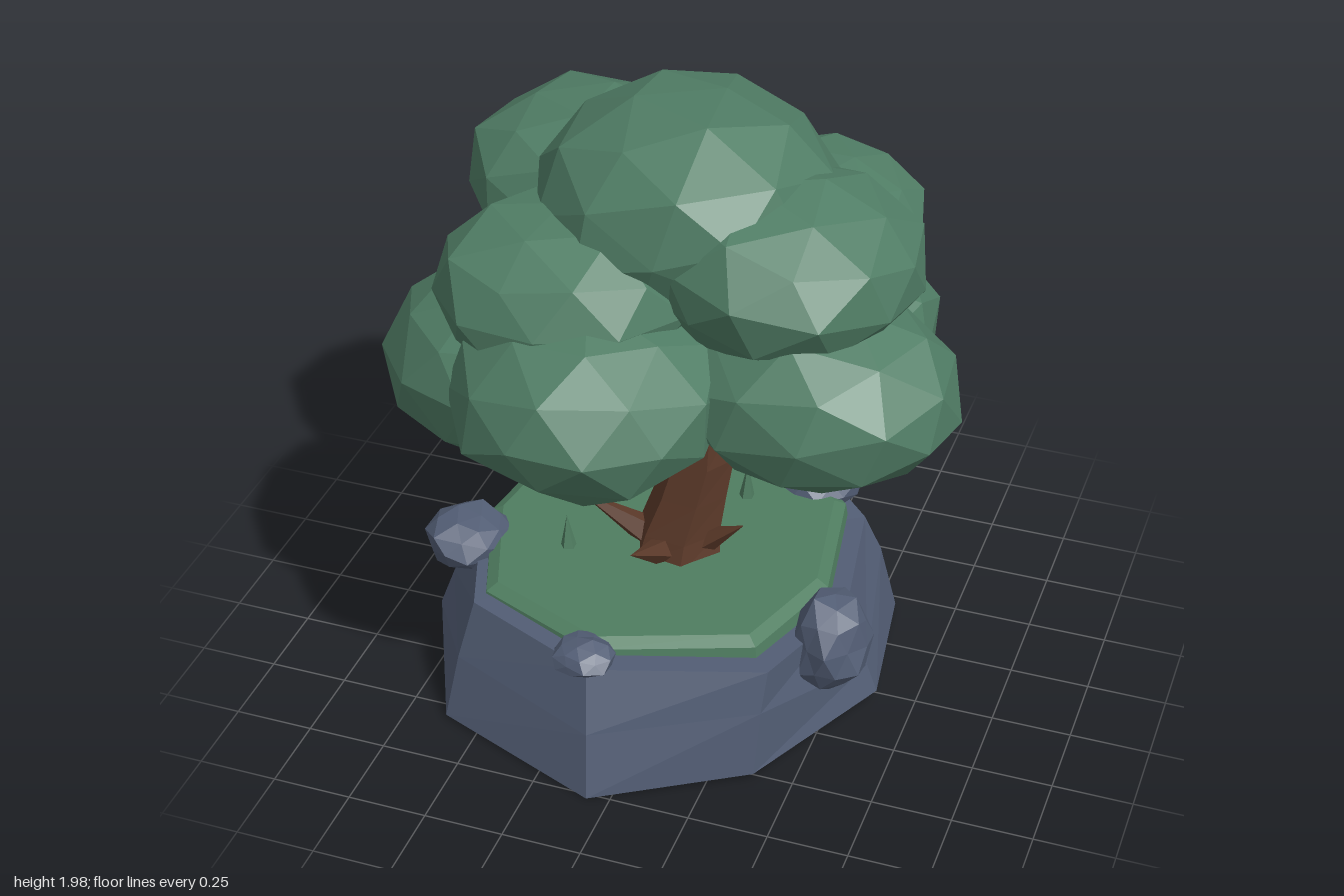
import * as THREE from 'three';

const mat = (name, color) => {
  const m = new THREE.MeshStandardMaterial({ color, flatShading: true });
  m.name = name;
  return m;
};

// Closed solid through a list of rings; each ring is a loop of [x, y, z]
function loft(rings) {
  const n = rings[0].length, pos = [], idx = [];
  rings.forEach(r => r.forEach(p => pos.push(...p)));
  for (let k = 0; k < rings.length - 1; k++) {
    for (let i = 0; i < n; i++) {
      const j = (i + 1) % n, a = k * n + i, b = k * n + j;
      idx.push(a, b, b + n, a, b + n, a + n);
    }
  }
  [rings[0], rings[rings.length - 1]].forEach((r, end) => {
    const c = pos.length / 3, o = end ? (rings.length - 1) * n : 0;
    pos.push(...[0, 1, 2].map(k => r.reduce((s, p) => s + p[k], 0) / n));
    for (let i = 0; i < n; i++) {
      const a = o + i, b = o + (i + 1) % n;
      idx.push(c, end ? a : b, end ? b : a);
    }
  });
  const g = new THREE.BufferGeometry();
  g.setAttribute('position', new THREE.Float32BufferAttribute(pos, 3));
  g.setIndex(idx);
  const flat = g.toNonIndexed();
  flat.computeVertexNormals();
  return flat;
}

// Regular ring running front, right, back, left
const ring = (x, y, z, r, n, turn = 0) => Array.from({ length: n }, (_, i) => {
  const a = turn + i / n * Math.PI * 2;
  return [x + Math.sin(a) * r, y, z + Math.cos(a) * r];
});

// Faceted lump: a turned, slightly uneven icosphere stretched to its radii
function lump(rx, ry, rz, seed, rough) {
  const g = new THREE.IcosahedronGeometry(1, 1);
  g.rotateX(seed * 1.3).rotateY(seed * 2.1);
  const p = g.attributes.position, v = new THREE.Vector3();
  for (let i = 0; i < p.count; i++) {
    v.fromBufferAttribute(p, i);
    const f = 1 + rough * Math.sin(v.x * 5.1 + seed * 3) * Math.cos(v.y * 4.3 + v.z * 3.7 + seed);
    p.setXYZ(i, v.x * rx * f, v.y * ry * f, v.z * rz * f);
  }
  g.computeVertexNormals();
  return g;
}

export function createModel() {
  const root = new THREE.Group();
  const leaf = mat('leaf green', 0x507d65);
  const grass = mat('grass green', 0x4f7d60);
  const stone = mat('slate grey', 0x525d74);
  const bark = mat('bark brown', 0x5b3929);

  const add = (name, geometry, material, x = 0, y = 0, z = 0) => {
    const m = new THREE.Mesh(geometry, material);
    m.name = name;
    m.position.set(x, y, z);
    root.add(m);
    return m;
  };

  // Rock base: outlines of foot and rim as [x, y, z], with an uneven ring between
  const foot = [[-0.07, 0.01, 0.77], [0.38, 0.03, 0.52], [0.635, 0.06, 0.05], [0.56, 0.03, -0.44],
    [0.17, 0.01, -0.84], [-0.38, 0.02, -0.79], [-0.8, 0.02, -0.38], [-0.86, 0.03, 0.04], [-0.62, 0.02, 0.56]];
  const rim = [[-0.11, 0.4, 0.64], [0.4, 0.38, 0.45], [0.53, 0.37, 0.06], [0.45, 0.37, -0.42],
    [0.13, 0.41, -0.71], [-0.35, 0.36, -0.66], [-0.66, 0.35, -0.34], [-0.71, 0.39, 0.02], [-0.55, 0.41, 0.46]];
  const middle = foot.map((p, i) => {
    const s = Math.sin(i * 2.4), t = 0.42 + 0.1 * s;
    return [p[0] + (rim[i][0] - p[0]) * t, 0.21 + 0.05 * s, p[2] + (rim[i][2] - p[2]) * t];
  });
  add('rockBase', loft([foot, middle, rim]), stone);

  // Grass cap
  const lawn = (y, s) => rim.map(([x, , z]) => [-0.11 + (x + 0.09) * s, y, -0.05 + (z + 0.03) * s]);
  add('grassCap', loft([lawn(0.34, 0.94), lawn(0.415, 0.92), lawn(0.437, 0.86)]), grass);

  // Boulders around the rim: x, y, z, radii, tilt
  [
    [0.525, 0.35, 0.19, 0.12, 0.16, 0.135, -0.5],
    [0.25, 0.425, -0.54, 0.16, 0.095, 0.18, 0],
    [-0.43, 0.42, -0.6, 0.17, 0.1, 0.16, 0.15],
    [-0.7, 0.4, 0.13, 0.14, 0.1, 0.15, -0.1],
    [-0.14, 0.41, 0.59, 0.1, 0.055, 0.09, 0],
  ].forEach(([x, y, z, rx, ry, rz, tilt], i) => {
    add('boulder' + (i + 1), lump(rx, ry, rz, i + 1.4, 0.12), stone, x, y, z).rotation.x = tilt;
  });

  // Trunk: hexagonal rings along a gentle bend
  add('trunk', loft([
    [-0.05, 0.41, -0.02, 0.15], [-0.045, 0.5, -0.03, 0.135], [-0.015, 0.63, -0.045, 0.118],
    [0.01, 0.76, -0.06, 0.11], [0.01, 0.9, -0.075, 0.104], [0.01, 1.05, -0.09, 0.098],
    [0.0, 1.3, -0.09, 0.08],
  ].map(([x, y, z, r], i) => ring(x, y, z, r, 6, 0.35 + i * 0.05))), bark);

  // Tapered limb between two points
  const up = new THREE.Vector3(0, 1, 0);
  const limb = (name, from, to, r0, r1) => {
    const a = new THREE.Vector3(...from), d = new THREE.Vector3(...to).sub(a);
    const g = new THREE.CylinderGeometry(r1, r0, d.length(), 5);
    const m = add(name, g, bark);
    m.position.copy(a).addScaledVector(d, 0.5);
    m.quaternion.setFromUnitVectors(up, d.normalize());
  };

  // Pointed roots flaring from the trunk
  [[-0.37, 0.58, 0.02], [0.18, 0.58, 0.03], [-0.11, 0.55, 0.25], [0.0, 0.56, -0.32]]
    .forEach((tip, i) => limb('root' + (i + 1),
      [-0.05 + (tip[0] + 0.05) * 0.2, 0.435, -0.02 + (tip[2] + 0.02) * 0.2], tip, 0.06, 0.001));

  // Branches reaching into the crown
  [[-0.3, 1.35, 0.1], [0.2, 1.35, -0.35]]
    .forEach((end, i) => limb('branch' + (i + 1), [0.0, 1.03, -0.09], end, 0.05, 0.03));

  // Leaf clumps: centre and radii
  [
    [-0.02, 1.69, -0.04, 0.46, 0.32, 0.47],
    [0.31, 1.59, 0.07, 0.41, 0.26, 0.41],
    [-0.3, 1.49, 0.25, 0.4, 0.26, 0.38],
    [-0.17, 1.265, 0.43, 0.42, 0.29, 0.41],
    [-0.43, 1.2, 0.22, 0.44, 0.3, 0.41],
    [0.45, 1.26, 0.19, 0.43, 0.28, 0.38],
    [0.24, 1.42, -0.49, 0.33, 0.21, 0.35],
    [-0.45, 1.53, -0.35, 0.4, 0.26, 0.38],
    [0.33, 1.22, -0.22, 0.38, 0.26, 0.4],
    [-0.15, 1.29, -0.38, 0.33, 0.21, 0.33],
  ].forEach(([x, y, z, rx, ry, rz], i) => {
    add('leafClump' + (i + 1), lump(rx, ry, rz, i * 0.7 + 0.3, 0.05), leaf, x, y, z);
  });

  // Grass blades: x, z, height
  [
    [0.04, -0.46, 0.12], [0.08, -0.32, 0.13], [-0.07, -0.56, 0.1], [-0.22, -0.43, 0.11],
    [-0.31, -0.28, 0.14], [-0.33, -0.13, 0.12], [-0.37, 0.12, 0.12], [-0.45, -0.25, 0.15],
  ].forEach(([x, z, h], i) => {
    const blade = add('grassBlade' + (i + 1), new THREE.ConeGeometry(0.027, h, 5), grass, x, 0.43 + h / 2, z);
    blade.rotation.set(0.05 * Math.sin(i * 3), i, 0.06 * Math.cos(i * 2));
  });

  return root;
}
